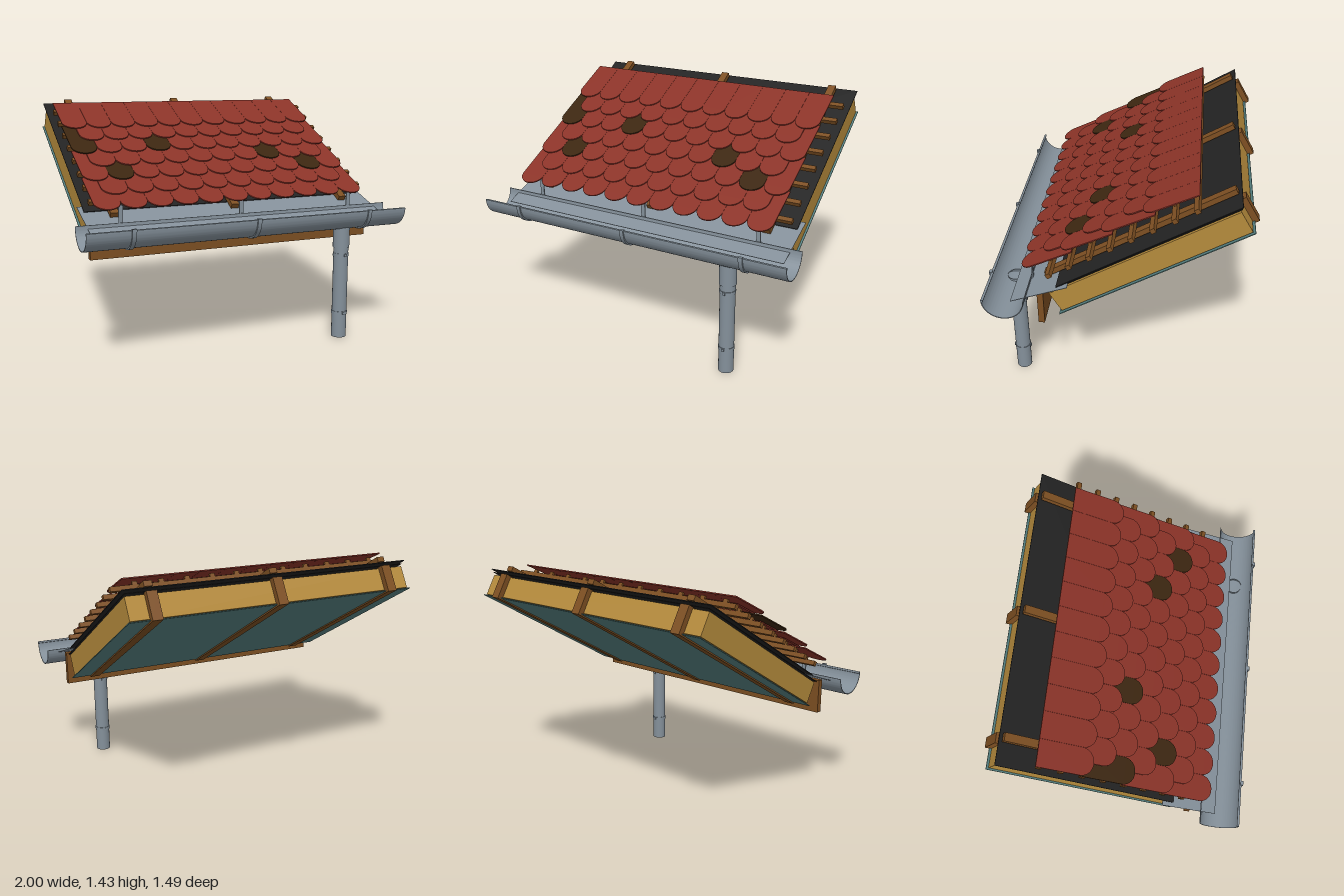
import * as THREE from 'three';
import { toCreasedNormals } from 'three/addons/utils/BufferGeometryUtils.js';

function material(name, color, side = THREE.FrontSide) {
  const m = new THREE.MeshStandardMaterial({ color, side });
  m.name = name;
  return m;
}

export function createModel() {
  const mat = {
    clay: material('red clay', 0x8b3328),
    aged: material('dark brown clay', 0x3c2610),
    wood: material('brown timber', 0x7d4f22),
    wool: material('golden insulation', 0xb48a3c),
    membrane: material('black membrane', 0x222222),
    lining: material('teal vapour barrier', 0x558080),
    metal: material('grey metal', 0x84909a, THREE.DoubleSide),
  };
  const model = new THREE.Group();
  model.name = 'roofSection';

  function add(parent, name, geometry, mtl, x = 0, y = 0, z = 0) {
    const mesh = new THREE.Mesh(geometry, mtl);
    mesh.name = name;
    mesh.position.set(x, y, z);
    parent.add(mesh);
    return mesh;
  }
  // Box given by its ranges in x, y and z
  function block(parent, name, mtl, [x0, x1], [y0, y1], [z0, z1]) {
    return add(parent, name, new THREE.BoxGeometry(x1 - x0, y1 - y0, z1 - z0), mtl,
      (x0 + x1) / 2, (y0 + y1) / 2, (z0 + z1) / 2);
  }

  // Roof layers, built flat and tilted 30 degrees: local y is the roof normal, local z runs downhill
  const roof = new THREE.Group();
  roof.name = 'roofLayers';
  roof.rotation.x = Math.PI / 6;
  model.add(roof);

  block(roof, 'vapourBarrier', mat.lining, [-0.9, 0.9], [0.722, 0.727], [-1.25, -0.045]);
  block(roof, 'insulation', mat.wool, [-0.89, 0.89], [0.733, 0.868], [-1.238, -0.065]);
  block(roof, 'lowerMembrane', mat.membrane, [-0.89, 0.89], [0.878, 0.882], [-1.25, -0.045]);
  block(roof, 'upperMembrane', mat.membrane, [-0.905, 0.905], [0.893, 0.898], [-1.262, -0.13]);
  for (const x of [-0.75, 0, 0.75]) {
    block(roof, 'rafter', mat.wood, [x - 0.03, x + 0.03], [0.714, 0.875], [-1.272, -0.034]);
    block(roof, 'counterBatten', mat.wood, [x - 0.024, x + 0.024], [0.907, 0.938], [-1.245, -0.055]);
  }

  // Battens with the nibs that hold the tiles
  const pitch = 0.156;
  const firstTile = -0.815;
  const nib = new THREE.BoxGeometry(0.03, 0.022, 0.014);
  for (let i = 0; i < 8; i++) {
    const z = -0.125 - i * 0.131;
    block(roof, 'batten', mat.wood, [-0.89, 0.89], [0.955, 0.983], [z - 0.014, z + 0.014]);
    for (let c = 0; c < 11; c++) add(roof, 'tileNib', nib, mat.wood, firstTile + c * pitch, 0.991, z - 0.005);
  }

  // Plain tiles with a rounded lower end
  const half = pitch / 2 - 0.0005;
  const tileShape = new THREE.Shape();
  tileShape.moveTo(half, 0.327);
  tileShape.lineTo(-half, 0.327);
  tileShape.lineTo(-half, 0.074);
  tileShape.absellipse(0, 0.074, half, 0.074, Math.PI, Math.PI * 2, false, 0);
  tileShape.closePath();
  const tileGeo = new THREE.ExtrudeGeometry(tileShape, { depth: 0.007, bevelEnabled: false, curveSegments: 20 });
  const agedTiles = ['4,0', '4,3', '2,1', '3,7', '2,9'];
  const tiles = new THREE.Group();
  tiles.name = 'tiles';
  model.add(tiles);
  for (let r = 0; r < 7; r++) {
    const odd = r % 2;
    for (let c = 0; c < 11 - odd; c++) {
      const isAged = agedTiles.includes(`${r},${c}`);
      const tile = add(tiles, isAged ? 'agedTile' : 'tile', tileGeo, isAged ? mat.aged : mat.clay,
        firstTile + (c + odd / 2) * pitch, 0.879 + r * 0.066, 0.547 - r * 0.1132);
      tile.rotation.x = -THREE.MathUtils.degToRad(64.7);
    }
  }

  // Fascia board and sloping drip plate
  block(model, 'fascia', mat.wood, [-0.904, 0.904], [0.586, 0.79], [0.409, 0.444]);
  const drip = add(model, 'dripPlate', new THREE.BoxGeometry(1.86, 0.003, 0.342), mat.metal, 0, 0.803, 0.43);
  drip.rotation.x = Math.atan2(0.115, 0.322);

  // Half-round strip extruded along x
  function trough(outer, inner, width) {
    const s = new THREE.Shape();
    s.absarc(0, 0, outer, Math.PI, Math.PI * 2, false);
    s.absarc(0, 0, inner, Math.PI * 2, Math.PI, true);
    s.closePath();
    const g = new THREE.ExtrudeGeometry(s, { depth: width, bevelEnabled: false, curveSegments: 28 });
    g.translate(0, 0, -width / 2).rotateY(Math.PI / 2);
    return toCreasedNormals(g, 0.6);
  }

  // Gutter with a rolled front edge
  const gutterY = 0.797, gutterZ = 0.618;
  add(model, 'gutter', trough(0.118, 0.113, 2), mat.metal, 0, gutterY, gutterZ);
  const bead = new THREE.CylinderGeometry(0.007, 0.007, 2, 12).rotateZ(Math.PI / 2);
  add(model, 'gutterBead', bead, mat.metal, 0, gutterY - 0.004, gutterZ + 0.111);

  // Gutter brackets
  const strap = trough(0.126, 0.118, 0.025);
  for (const x of [-0.74, 0, 0.74]) {
    add(model, 'bracketStrap', strap, mat.metal, x, gutterY, gutterZ);
    block(model, 'bracketStem', mat.metal, [x - 0.0125, x + 0.0125], [gutterY - 0.005, 0.895], [0.492, 0.499]);
    block(model, 'bracketTip', mat.metal, [x - 0.0125, x + 0.0125], [gutterY - 0.008, gutterY + 0.008], [0.728, 0.746]);
  }

  // Downpipe with outlet sleeve and clamps
  const px = 0.618, pz = 0.622;
  function pipe(name, radius, y0, y1) {
    add(model, name, new THREE.CylinderGeometry(radius, radius, y1 - y0, 32, 1, true), mat.metal, px, (y0 + y1) / 2, pz);
  }
  pipe('downpipe', 0.045, 0, 0.6);
  pipe('outletSleeve', 0.05, 0.565, 0.7);
  const collar = new THREE.RingGeometry(0.045, 0.05, 32).rotateX(Math.PI / 2);
  add(model, 'sleeveCollar', collar, mat.metal, px, 0.565, pz);
  for (const y of [0.52, 0.155]) {
    const ring = [[0.045, -0.01], [0.048, -0.01], [0.048, 0.01], [0.045, 0.01]].map(p => new THREE.Vector2(...p));
    add(model, 'pipeClamp', toCreasedNormals(new THREE.LatheGeometry(ring, 32), 0.6), mat.metal, px, y, pz);
    for (const side of [-1, 1]) {
      add(model, 'clampLug', new THREE.BoxGeometry(0.014, 0.016, 0.01), mat.metal, px, y, pz + side * 0.048);
    }
  }
  return model;
}
